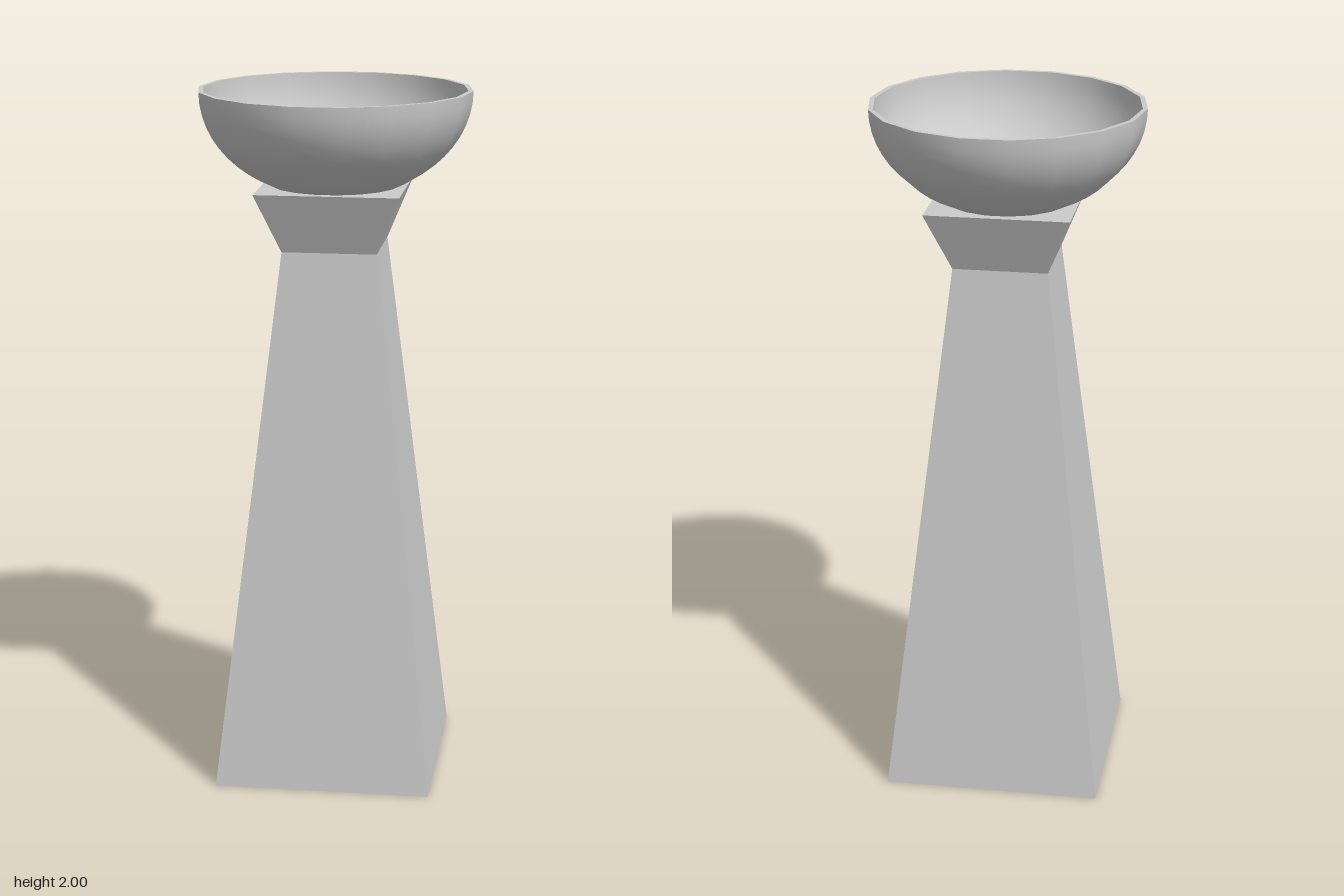
import * as THREE from 'three';

const material = new THREE.MeshStandardMaterial({ color: 0xcccccc });
const flatMaterial = new THREE.MeshStandardMaterial({ color: 0xcccccc, flatShading: true });

// Square tapered block given by its half widths and heights
function taperedBlock(name, bottomHalf, topHalf, y0, y1) {
  const geometry = new THREE.CylinderGeometry(topHalf * Math.SQRT2, bottomHalf * Math.SQRT2, y1 - y0, 4);
  geometry.rotateY(Math.PI / 4);
  const mesh = new THREE.Mesh(geometry, flatMaterial);
  mesh.position.y = (y0 + y1) / 2;
  mesh.name = name;
  return mesh;
}

// 18-sided turned surface with a corner on the x axis
function turned(name, points) {
  const profile = points.map(([r, y]) => new THREE.Vector2(r, y));
  const mesh = new THREE.Mesh(new THREE.LatheGeometry(profile, 18, Math.PI / 2), material);
  mesh.name = name;
  return mesh;
}

// Elliptic bowl wall, running from the foot radius up to the rim
function bowlArc(rim, depth, foot, steps = 10) {
  const start = Math.acos(foot / rim);
  return Array.from({ length: steps + 1 }, (_, i) => {
    const a = start * (1 - i / steps);
    return [rim * Math.cos(a), 2 - depth * Math.sin(a)];
  });
}

export function createModel() {
  const model = new THREE.Group();
  model.name = 'pedestalBowl';

  // Pedestal with flared capital
  model.add(taperedBlock('column', 0.311, 0.135, 0, 1.555));
  model.add(taperedBlock('capital', 0.135, 0.205, 1.555, 1.728));

  // Bowl: separate surfaces keep the rim and floor edges sharp
  const bowl = new THREE.Group();
  bowl.name = 'bowl';
  const outer = bowlArc(0.39, 0.307, 0.18);
  const inner = bowlArc(0.376, 0.301, 0.18).reverse();
  const floor = inner[inner.length - 1];
  bowl.add(turned('bowlOutside', outer));
  bowl.add(turned('bowlRim', [[0.39, 2], [0.376, 2]]));
  bowl.add(turned('bowlInside', inner));
  bowl.add(turned('bowlFloor', [floor, [0, floor[1]]]));
  model.add(bowl);

  return model;
}
